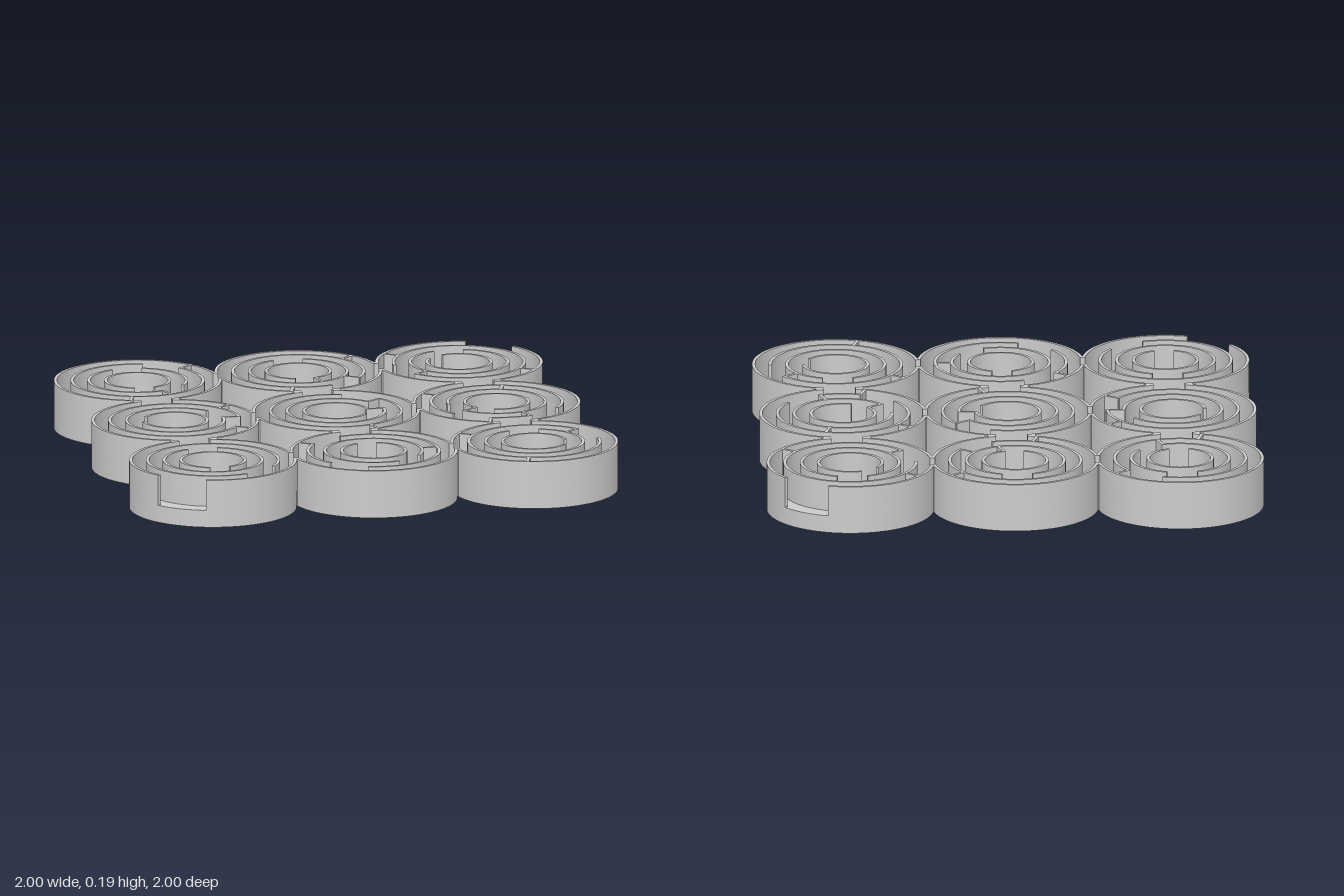
import * as THREE from 'three';
import { toCreasedNormals } from 'three/addons/utils/BufferGeometryUtils.js';

const PITCH = 0.663, TOP = 0.195, FLOOR = 0.07, WALL = 0.013;
const RADII = [0.135, 0.203, 0.27, 0.337]; // outer radius of each ring wall
const STEP = Math.PI / 5; // each ring is divided into ten sectors

// One entry per dish, row by row from the back.
// gaps: open sectors of the three inner rings; spokes: [sector edge, inner ring]
// notch: open sector of the outer rim
const DISHES = [
  { gaps: [[2], [1, 7], [8]], spokes: [[9, 2], [2, 1], [3, 2]] },
  { gaps: [[2], [7], [1]], spokes: [[9, 2], [2, 0], [1, 1], [3, 2]] },
  { gaps: [[6], [7], [4]], spokes: [[6, 2], [4, 1], [1, 2]], notch: 8 },
  { gaps: [[5], [9], [0]], spokes: [[9, 2], [0, 1], [1, 2]] },
  { gaps: [[0], [9], [8]], spokes: [[9, 1], [0, 0], [2, 2]] },
  { gaps: [[3], [4], [1, 3]], spokes: [[8, 1], [6, 2], [4, 0], [3, 2], [2, 1]] },
  { gaps: [[2], [7], [1]], spokes: [], notch: 3 },
  { gaps: [[7], [1], [6, 3]], spokes: [[6, 2], [0, 1]] },
  { gaps: [[0], [7], [9]], spokes: [[9, 1], [3, 2], [6, 2]] },
];

const material = new THREE.MeshStandardMaterial({ color: 0xcccccc });

function add(parent, name, geometry, x = 0, y = 0, z = 0) {
  const mesh = new THREE.Mesh(geometry, material);
  mesh.name = name;
  mesh.position.set(x, y, z);
  parent.add(mesh);
  return mesh;
}

// Curved wall standing on the floor, from angle a to angle b (0 = +x, towards +z)
function arcWall(parent, name, radius, a, b) {
  const shape = new THREE.Shape();
  shape.absarc(0, 0, radius, a, b, false);
  shape.absarc(0, 0, radius - WALL, b, a, true);
  const segments = Math.max(6, Math.ceil((b - a) * 14));
  const geo = new THREE.ExtrudeGeometry(shape, {
    depth: TOP - FLOOR, bevelEnabled: false, curveSegments: segments,
  });
  geo.rotateX(Math.PI / 2);
  add(parent, name, toCreasedNormals(geo, 0.6), 0, TOP, 0);
}

// Ring wall with openings given as sorted [start, end] angles
function ringWall(parent, name, radius, openings) {
  const list = [...openings].sort((p, q) => p[0] - q[0]);
  list.forEach((opening, i) => {
    const next = list[i + 1] ? list[i + 1][0] : list[0][0] + Math.PI * 2;
    if (next - opening[1] > 0.01) arcWall(parent, name, radius, opening[1], next);
  });
}

// Straight wall along a sector edge, from one ring to the next one out
function spoke(parent, edge, ring) {
  const inner = RADII[ring] - WALL, outer = RADII[ring + 1];
  const r = (inner + outer) / 2, angle = edge * STEP;
  const geo = new THREE.BoxGeometry(outer - inner - 0.004, TOP - FLOOR, WALL);
  add(parent, 'spokeWall', geo, r * Math.cos(angle), (TOP + FLOOR) / 2, r * Math.sin(angle))
    .rotation.y = -angle;
}

// Doorway between neighbouring dishes: sill at floor level and a post on each side
function doorway(parent, x, z, half, outer, turned) {
  const door = new THREE.Group();
  door.name = 'doorway';
  door.position.set(x, 0, z);
  if (turned) door.rotation.y = Math.PI / 2;
  add(door, 'sill', new THREE.BoxGeometry(outer * 2, FLOOR, 0.024), 0, FLOOR / 2, 0);
  for (const side of [-1, 1]) {
    add(door, 'doorPost', new THREE.BoxGeometry(outer - half, TOP, 0.02),
      side * (half + outer) / 2, TOP / 2, 0);
  }
  parent.add(door);
}

export function createModel() {
  const model = new THREE.Group();
  model.name = 'linkedRingMaze';
  const sideHalf = 0.042, endHalf = 0.064; // half widths of the doorways
  const sideAngle = Math.asin(sideHalf / 0.33), endAngle = Math.asin(endHalf / 0.33);

  DISHES.forEach((dish, i) => {
    const col = i % 3, row = Math.floor(i / 3);
    const cell = new THREE.Group();
    cell.name = 'mazeDish';
    cell.position.set((col - 1) * PITCH, 0, (row - 1) * PITCH);
    model.add(cell);

    // Floor disc
    add(cell, 'floor', new THREE.CylinderGeometry(RADII[3], RADII[3], FLOOR, 96), 0, FLOOR / 2, 0);

    // Outer rim, opened towards each neighbour and at the maze entrances
    const rim = [];
    const open = (centre, half) => rim.push([centre - half, centre + half]);
    if (col < 2) open(0, sideAngle);
    if (row < 2) open(Math.PI / 2, endAngle);
    if (col > 0) open(Math.PI, sideAngle);
    if (row > 0) open(Math.PI * 1.5, endAngle);
    if (dish.notch !== undefined) open((dish.notch + 0.5) * STEP, STEP / 2);
    ringWall(cell, 'outerRim', RADII[3], rim);

    // Inner rings and the straight walls joining them
    dish.gaps.forEach((sectors, ring) => {
      ringWall(cell, 'ringWall', RADII[ring], sectors.map((s) => [s * STEP, (s + 1) * STEP]));
    });
    dish.spokes.forEach(([edge, ring]) => spoke(cell, edge, ring));

    // Doorways to the next dish right and front
    const { x, z } = cell.position;
    if (col < 2) doorway(model, x + PITCH / 2, z, sideHalf, 0.068, true);
    if (row < 2) doorway(model, x, z + PITCH / 2, endHalf, 0.095, false);
  });
  return model;
}
